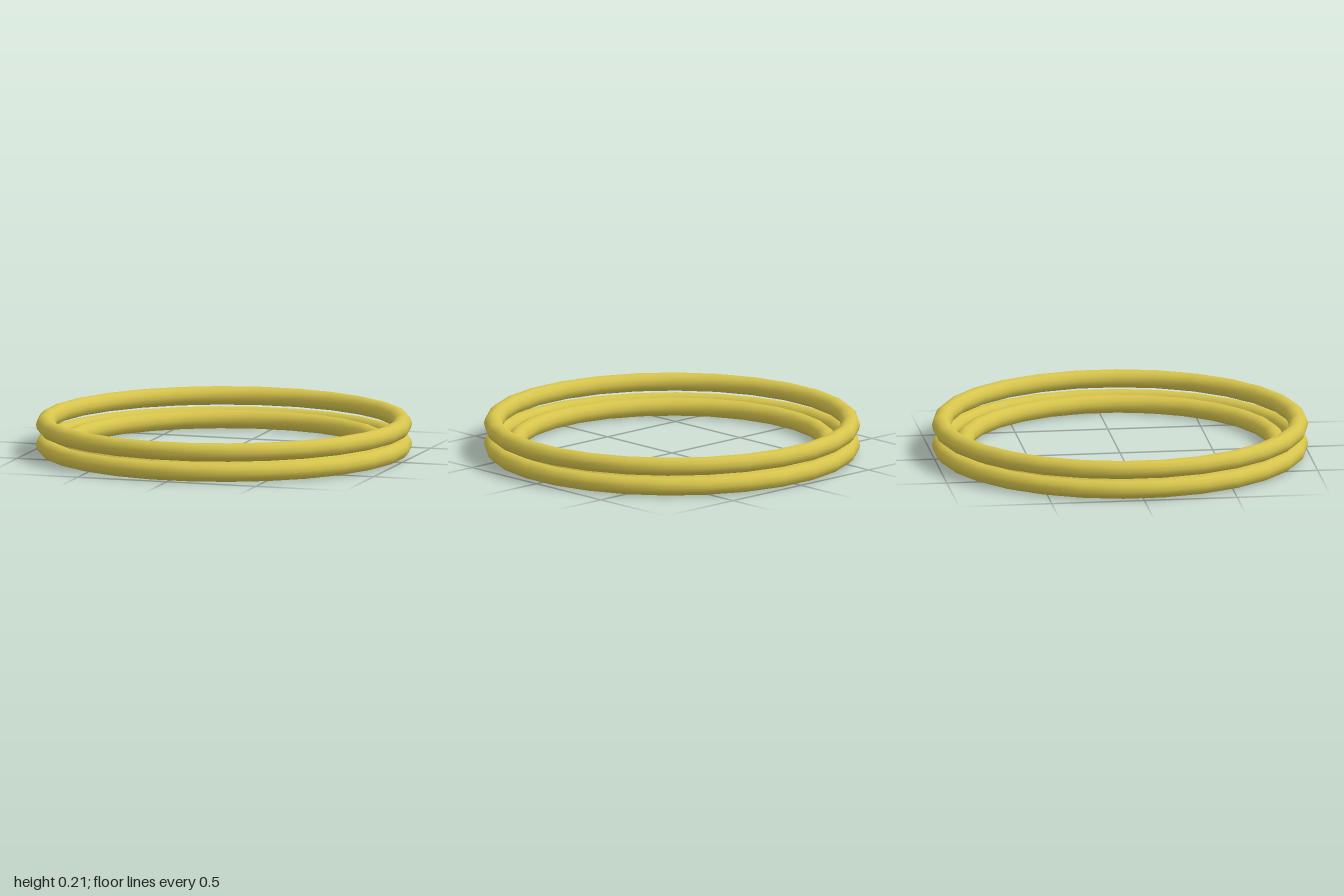
import * as THREE from 'three';

const SEGMENTS = 28;
const TUBE = 0.05;

export function createModel() {
  const group = new THREE.Group();
  const gold = new THREE.MeshStandardMaterial({ color: 0xd6c44c });
  gold.name = 'gold';

  // A ring lying flat, turned half a segment so a flat side faces each axis
  const addRing = (name, radius, y) => {
    const geometry = new THREE.TorusGeometry(radius, TUBE, 12, SEGMENTS);
    geometry.rotateX(-Math.PI / 2);
    geometry.rotateY(Math.PI / SEGMENTS);
    const ring = new THREE.Mesh(geometry, gold);
    ring.name = name;
    ring.position.y = y;
    group.add(ring);
  };

  // Two equal rings stacked, with a smaller one inside the lower
  addRing('lowerOuterRing', 0.956, 0.053);
  addRing('upperOuterRing', 0.956, 0.162);
  addRing('innerRing', 0.839, 0.053);

  return group;
}
